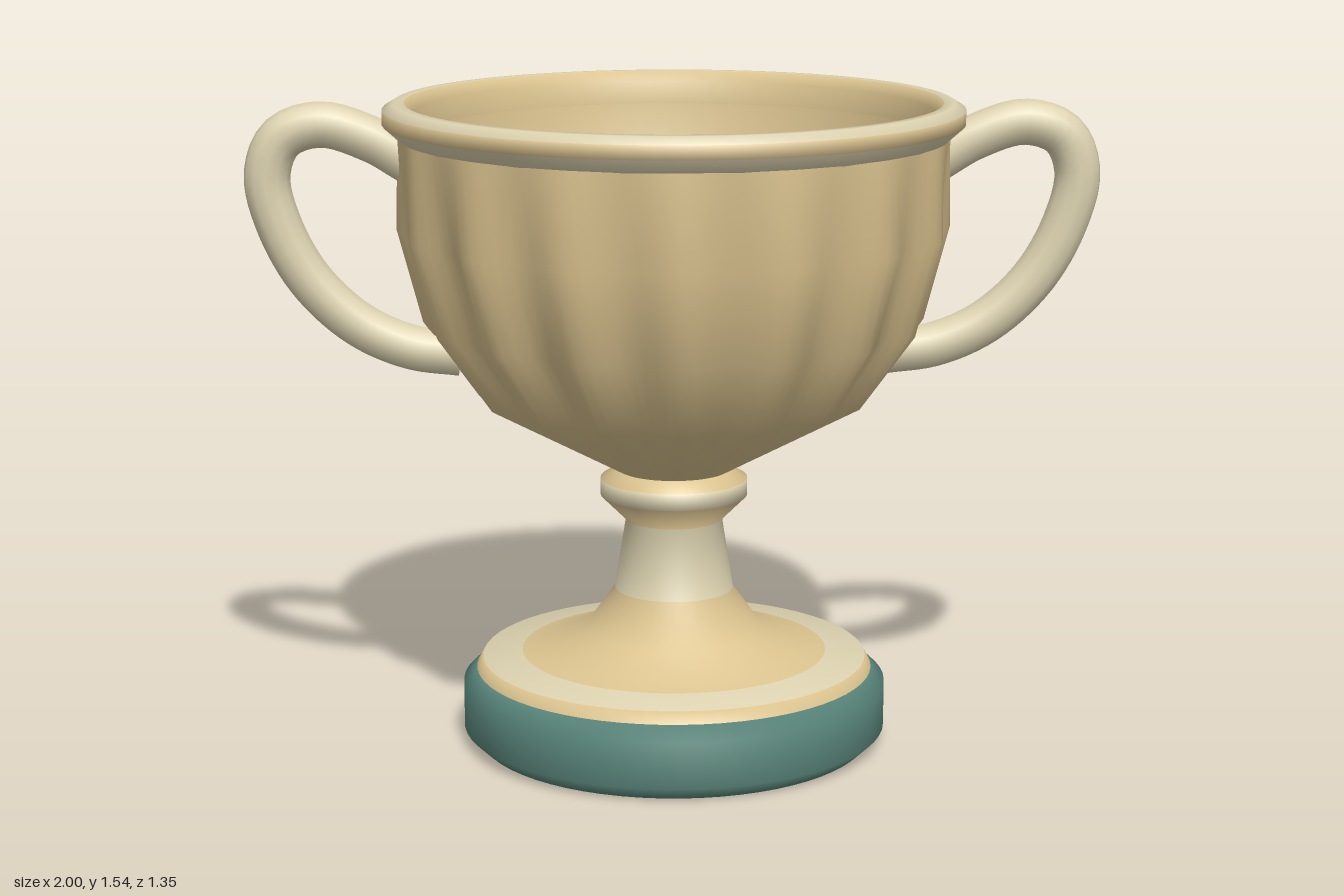
import * as THREE from 'three';
import { mergeVertices } from 'three/addons/utils/BufferGeometryUtils.js';

const material = (name, color) => {
  const m = new THREE.MeshStandardMaterial({ color });
  m.name = name;
  return m;
};

const lathe = (profile, segments) =>
  new THREE.LatheGeometry(profile.map(([r, y]) => new THREE.Vector2(r, y)), segments);

const named = (name, geometry, materials) => {
  const mesh = new THREE.Mesh(geometry, materials);
  mesh.name = name;
  return mesh;
};

// Revolve a profile, with one material index per band
function turned(name, profile, bands, materials, segments = 64) {
  const geo = lathe(profile, segments);
  const rows = profile.length;
  const index = [];
  materials.forEach((_, m) => {
    const start = index.length;
    bands.forEach((band, j) => {
      if (band !== m) return;
      for (let i = 0; i < segments; i++) {
        const a = i * rows + j, b = a + rows;
        index.push(a, b, a + 1, b + 1, a + 1, b);
      }
    });
    geo.addGroup(start, index.length - start, m);
  });
  geo.setIndex(index);
  return named(name, geo, materials);
}

// Revolve a profile and press vertical flutes into it, one depth per profile row
function fluted(profile, depths, count, segments) {
  const geo = lathe(profile, segments);
  const pos = geo.attributes.position;
  for (let i = 0; i < pos.count; i++) {
    const angle = (Math.floor(i / profile.length) / segments) * Math.PI * 2;
    const s = 1 - depths[i % profile.length] * (0.5 - 0.5 * Math.cos(count * angle));
    pos.setX(i, pos.getX(i) * s);
    pos.setZ(i, pos.getZ(i) * s);
  }
  // Weld the seam so the normals run smoothly all round
  geo.deleteAttribute('normal');
  geo.deleteAttribute('uv');
  const welded = mergeVertices(geo, 1e-5);
  welded.computeVertexNormals();
  return welded;
}

export function createModel() {
  const tan = material('warm tan', 0xdcc490);
  const cream = material('pale cream', 0xdcd2b0);
  const teal = material('teal', 0x5a877c);
  const metals = [tan, cream];
  const cup = new THREE.Group();
  cup.name = 'trophyCup';

  // Plinth with chamfered edges
  cup.add(named('plinth', lathe(
    [[0, 0], [0.47, 0], [0.507, 0.035], [0.507, 0.145], [0.47, 0.18], [0, 0.18]], 64), teal));

  // Flared foot, stem and collar
  cup.add(turned('footAndStem',
    [[0.475, 0.178], [0.46, 0.205], [0.365, 0.217], [0.213, 0.27], [0.142, 0.37],
      [0.115, 0.54], [0.175, 0.6], [0.175, 0.64], [0.13, 0.665]],
    [0, 1, 0, 0, 1, 0, 1, 0], metals));

  // Fluted outer bowl: sixteen ribs that fade out at the collar and under the rim
  cup.add(named('flutedBowl', fluted(
    [[0.13, 0.66], [0.46, 0.84], [0.59, 1.02], [0.648, 1.24], [0.642, 1.46]],
    [0, 0.085, 0.075, 0.05, 0.005], 16, 128), tan));

  // Rolled rim
  cup.add(turned('rim',
    [[0.635, 1.455], [0.676, 1.492], [0.676, 1.524], [0.65, 1.54],
      [0.625, 1.54], [0.605, 1.515], [0.6, 1.46]],
    [1, 0, 1, 1, 0, 0], metals));

  // Inside of the bowl, running down to a point
  cup.add(named('bowlInterior', lathe(
    [[0.6, 1.46], [0.565, 1.2], [0.43, 0.95], [0, 0.73]], 64), tan));

  // Pair of looping handles, ends buried in the bowl wall
  const path = [[0.615, 1.4], [0.7, 1.45], [0.82, 1.486], [0.91, 1.455], [0.945, 1.37],
    [0.92, 1.25], [0.85, 1.12], [0.74, 1.015], [0.62, 0.96], [0.5, 0.943]];
  for (const side of [1, -1]) {
    const curve = new THREE.CatmullRomCurve3(
      path.map(([x, y]) => new THREE.Vector3(side * x, y, 0)));
    cup.add(named(side > 0 ? 'leftHandle' : 'rightHandle',
      new THREE.TubeGeometry(curve, 48, 0.054, 12), cream));
  }
  return cup;
}
